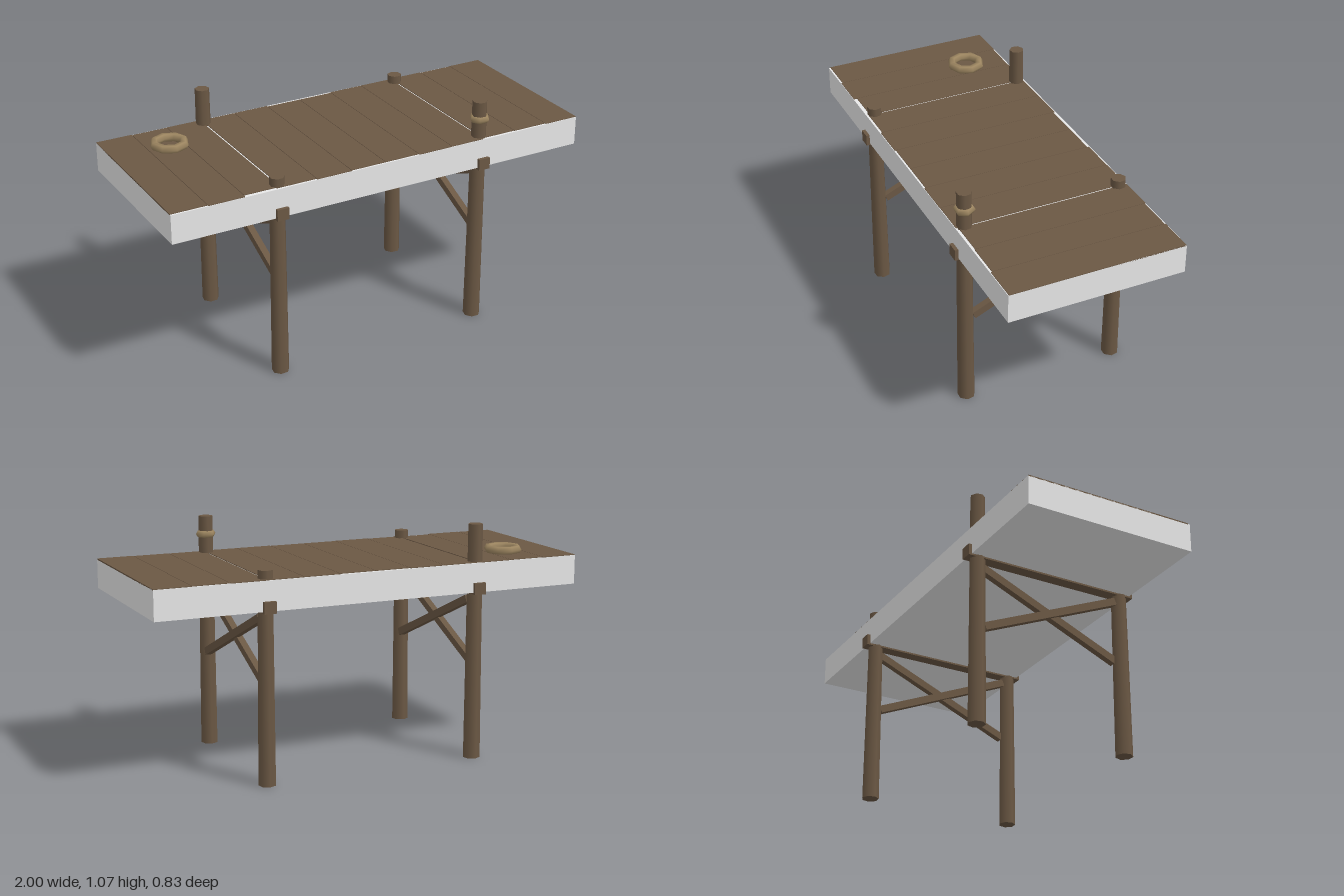
import * as THREE from 'three';

export function createModel() {
  const wood = new THREE.MeshStandardMaterial({ color: 0x6b5844 });
  wood.name = 'weathered wood';
  const pale = new THREE.MeshStandardMaterial({ color: 0xffffff });
  pale.name = 'white deck core';
  const rope = new THREE.MeshStandardMaterial({ color: 0x9c8560 });
  rope.name = 'rope tan';

  const pier = new THREE.Group();
  pier.name = 'pier';

  const add = (name, geometry, material, x, y, z) => {
    const mesh = new THREE.Mesh(geometry, material);
    mesh.name = name;
    mesh.position.set(x, y, z);
    pier.add(mesh);
    return mesh;
  };

  // Solid deck block under the planks
  add('deckBlock', new THREE.BoxGeometry(2, 0.132, 0.8), pale, 0, 0.834, 0);

  // Twelve planks with slightly uneven ends: [back z, front z]
  const ends = [
    [-0.398, 0.392], [-0.393, 0.398], [-0.395, 0.383], [-0.392, 0.39],
    [-0.393, 0.397], [-0.386, 0.392], [-0.386, 0.392], [-0.393, 0.398],
    [-0.394, 0.397], [-0.398, 0.388], [-0.393, 0.391], [-0.397, 0.397],
  ];
  const pitch = 2 / ends.length;
  ends.forEach(([back, front], i) => {
    // wider gaps fall over the two trestles
    const left = -1 + i * pitch + (i === 3 || i === 9 ? 0.004 : i ? 0.001 : 0);
    const right = -1 + (i + 1) * pitch - (i === 2 || i === 8 ? 0.004 : i < 11 ? 0.001 : 0);
    add('plank', new THREE.BoxGeometry(right - left, 0.006, front - back), wood,
      (left + right) / 2, 0.9, (back + front) / 2);
  });

  // Two trestles: posts, cross beam and X braces
  for (const side of [-1, 1]) {
    const x = side * 0.5;
    for (const end of [-1, 1]) {
      const height = side === end ? 1.07 : 0.94;
      const post = add('post', new THREE.CylinderGeometry(0.033, 0.039, height, 7), wood,
        x - 0.003, height / 2, end * 0.36);
      post.rotation.y = side * 0.4 + end * 0.9;
    }
    add('crossBeam', new THREE.BoxGeometry(0.055, 0.052, 0.832), wood, x - 0.003, 0.786, 0);
    for (const tilt of [-1, 1]) {
      const brace = add('brace', new THREE.BoxGeometry(0.03, 0.034, 0.72), wood,
        x + tilt * 0.008, 0.587, 0);
      brace.rotation.x = tilt * Math.atan2(0.285, 0.66);
    }
  }

  // Rope coil lying on the deck
  const coil = add('ropeCoil', new THREE.TorusGeometry(0.068, 0.02, 6, 8), rope, -0.737, 0.918, -0.203);
  coil.rotation.x = Math.PI / 2;

  // Rope band round the tall front post
  const band = add('ropeBand', new THREE.TorusGeometry(0.03, 0.017, 6, 6), rope, 0.498, 0.988, 0.36);
  band.rotation.x = Math.PI / 2;

  return pier;
}
